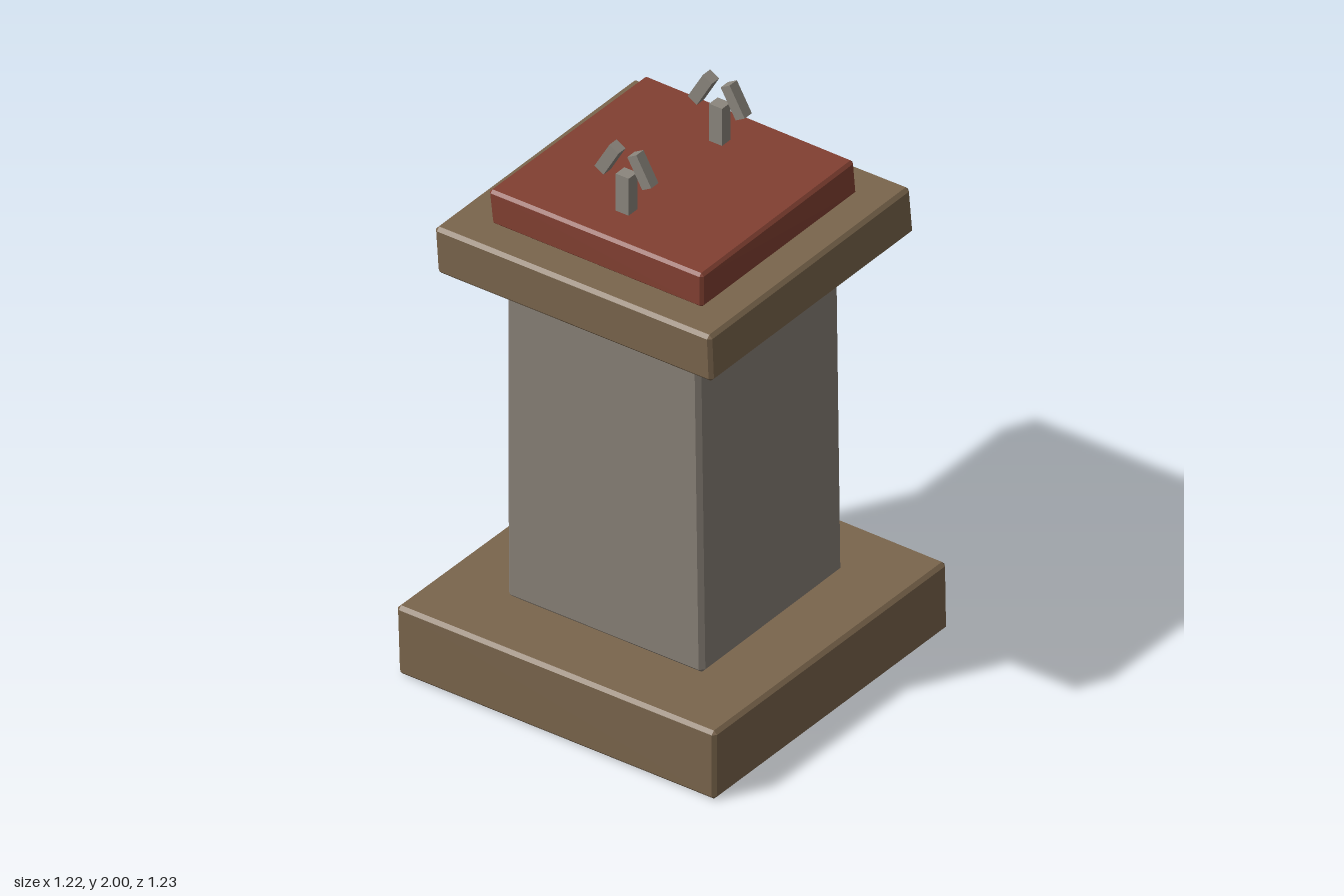
import * as THREE from 'three';
import { ConvexGeometry } from 'three/addons/geometries/ConvexGeometry.js';

const material = (name, color) => {
  const m = new THREE.MeshStandardMaterial({ color });
  m.name = name;
  return m;
};

// Slightly uneven block with chamfered edges.
// Rings list [x, z] corners: back left, back right, front right, front left.
function block(y0, y1, bottom, top, c) {
  const points = [];
  [[bottom, y0, 1], [top, y1, -1]].forEach(([ring, y, up]) => {
    for (const [x, z] of ring) {
      const sx = Math.sign(x) * c, sz = Math.sign(z) * c, sy = up * c;
      points.push(
        new THREE.Vector3(x, y + sy, z - sz),
        new THREE.Vector3(x - sx, y + sy, z),
        new THREE.Vector3(x - sx, y, z - sz)
      );
    }
  });
  return new ConvexGeometry(points);
}

export function createModel() {
  const group = new THREE.Group();
  const wood = material('brown wood', 0x7a654c);
  const stone = material('warm grey', 0x888077);
  const cushion = material('brick red', 0x824032);
  const metal = material('grey metal', 0x8b867d);

  const add = (parent, name, geometry, mat, x = 0, y = 0, z = 0) => {
    const mesh = new THREE.Mesh(geometry, mat);
    mesh.name = name;
    mesh.position.set(x, y, z);
    parent.add(mesh);
    return mesh;
  };

  // Stacked body
  add(group, 'base', block(0.005, 0.257,
    [[-0.61, -0.612], [0.61, -0.605], [0.608, 0.612], [-0.612, 0.608]],
    [[-0.612, -0.618], [0.608, -0.605], [0.6, 0.614], [-0.612, 0.608]], 0.012), wood);
  add(group, 'column', block(0.253, 1.486,
    [[-0.365, -0.375], [0.372, -0.372], [0.376, 0.378], [-0.365, 0.38]],
    [[-0.375, -0.37], [0.366, -0.368], [0.37, 0.366], [-0.374, 0.37]], 0.015), stone);
  add(group, 'top slab', block(1.482, 1.65,
    [[-0.53, -0.522], [0.53, -0.52], [0.534, 0.536], [-0.53, 0.536]],
    [[-0.53, -0.532], [0.522, -0.53], [0.528, 0.528], [-0.53, 0.53]], 0.012), wood);
  add(group, 'reading board', block(1.645, 1.768,
    [[-0.406, -0.402], [0.408, -0.404], [0.406, 0.41], [-0.408, 0.41]],
    [[-0.406, -0.414], [0.41, -0.406], [0.402, 0.404], [-0.406, 0.408]], 0.01), cushion);

  // Plaque on the back
  add(group, 'back plaque', new THREE.BoxGeometry(0.43, 0.2, 0.03), stone, 0, 1.08, -0.38);

  // Pair of microphones, each a post with two slanted heads
  for (const side of [-1, 1]) {
    const mic = new THREE.Group();
    mic.name = side > 0 ? 'left microphone' : 'right microphone';
    mic.position.x = side * 0.245;
    add(mic, 'post', new THREE.BoxGeometry(0.045, 0.145, 0.05), metal, 0, 1.8325, 0);
    for (const s of [-1, 1]) {
      const head = add(mic, s > 0 ? 'front head' : 'rear head',
        new THREE.BoxGeometry(0.038, 0.1155, 0.04), metal, 0, 1.94, s * 0.063);
      head.rotation.x = -s * Math.PI / 6;
    }
    group.add(mic);
  }
  return group;
}
